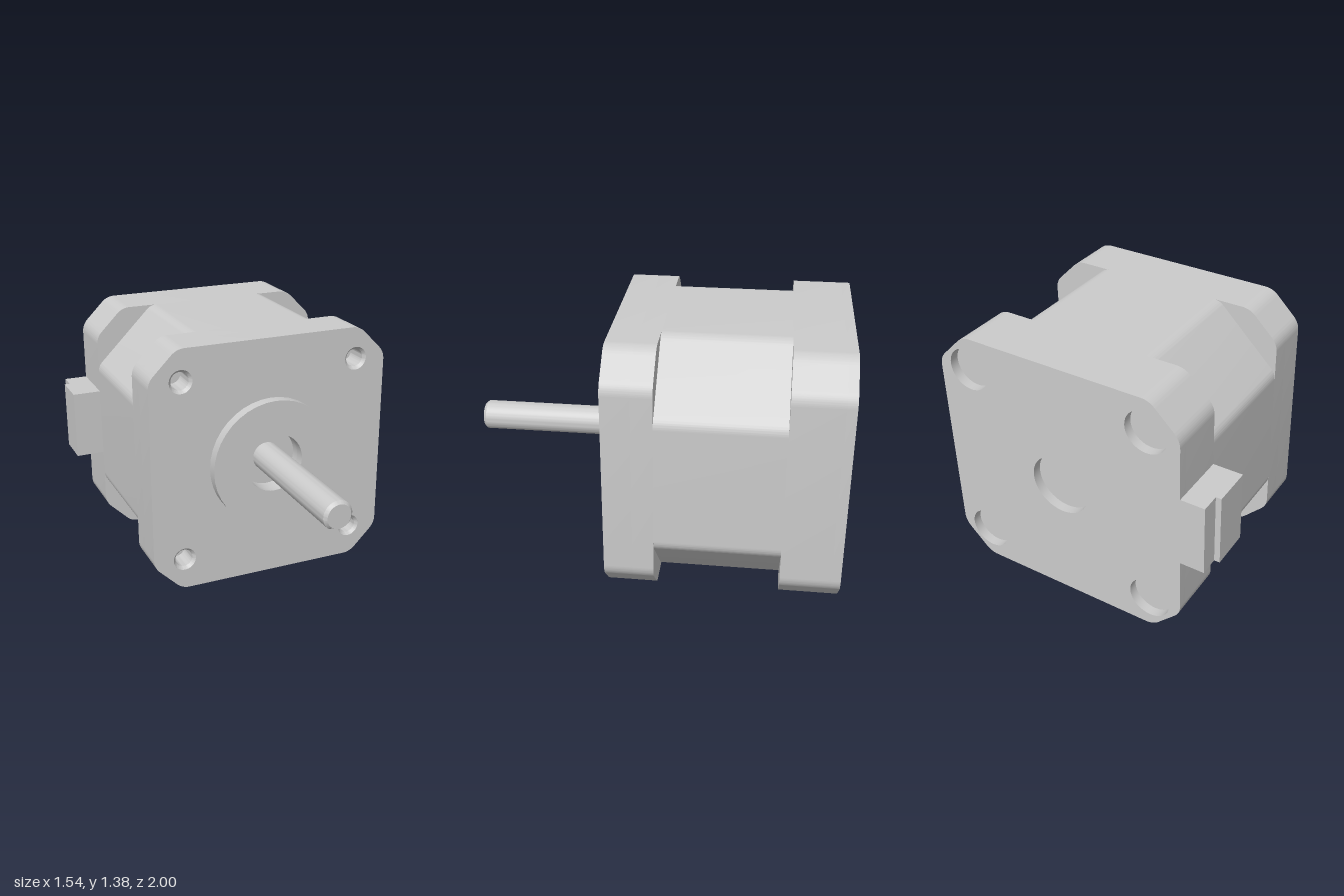
import * as THREE from 'three';
import { toCreasedNormals } from 'three/addons/utils/BufferGeometryUtils.js';

const HALF = 0.69;   // half width of the square body
const BOLT = 0.512;  // bolt offset from the shaft axis
const BORE = 0.165;  // centre bore radius
const CORNERS = [[1, 1], [-1, 1], [-1, -1], [1, -1]];

const grey = new THREE.MeshStandardMaterial({ color: 0xcccccc });
const greyBoth = new THREE.MeshStandardMaterial({ color: 0xcccccc, side: THREE.DoubleSide });

function addMesh(parent, name, geometry, material = grey) {
  const mesh = new THREE.Mesh(toCreasedNormals(geometry, 0.5), material);
  mesh.name = name;
  parent.add(mesh);
  return mesh;
}

// Square with cut corners; t softens both ends of each cut
function bodyShape(cut, t) {
  const pts = [
    [HALF, HALF - cut], [HALF - cut, HALF], [-HALF + cut, HALF], [-HALF, HALF - cut],
    [-HALF, -HALF + cut], [-HALF + cut, -HALF], [HALF - cut, -HALF], [HALF, -HALF + cut],
  ].map(([x, y]) => new THREE.Vector2(x, y));
  const shape = new THREE.Shape();
  pts.forEach((p, i) => {
    const toward = (q) => p.clone().add(q.clone().sub(p).setLength(t));
    const a = toward(pts[(i + 7) % 8]);
    const b = toward(pts[(i + 1) % 8]);
    if (i === 0) shape.moveTo(a.x, a.y);
    else shape.lineTo(a.x, a.y);
    shape.quadraticCurveTo(p.x, p.y, b.x, b.y);
  });
  shape.closePath();
  return shape;
}

function punch(shape, x, y, r) {
  shape.holes.push(new THREE.Path().absarc(x, y, r, 0, Math.PI * 2, true));
}

// Extrude a shape between two z positions
function slab(shape, z0, z1) {
  const geo = new THREE.ExtrudeGeometry(shape, { depth: z1 - z0, bevelEnabled: false, curveSegments: 20 });
  return geo.translate(0, 0, z0);
}

// Lathe about the z axis from [radius, z] pairs
function turned(profile) {
  const pts = profile.map(([r, z]) => new THREE.Vector2(r, z));
  return new THREE.LatheGeometry(pts, 64).rotateX(Math.PI / 2);
}

export function createModel() {
  const model = new THREE.Group();
  model.name = 'stepperMotor';
  const motor = new THREE.Group();
  motor.name = 'motor';
  motor.position.set(0.08, HALF, 0);
  model.add(motor);

  const capShape = () => bodyShape(0.16, 0.045);

  // Front cap: drilled plate over a solid slab
  const frontPlate = capShape();
  punch(frontPlate, 0, 0, BORE);
  CORNERS.forEach(([sx, sy]) => punch(frontPlate, sx * BOLT, sy * BOLT, 0.065));
  addMesh(motor, 'frontPlate', slab(frontPlate, 0.07, 0.22));
  addMesh(motor, 'frontCap', slab(capShape(), -0.04, 0.07));

  // Laminated core with deeper corner cuts
  addMesh(motor, 'core', slab(bodyShape(0.335, 0.035), -0.69, -0.04));

  // Rear cap with shallow round recesses
  const rearPlate = capShape();
  punch(rearPlate, 0, 0, BORE);
  CORNERS.forEach(([sx, sy]) => punch(rearPlate, sx * BOLT, sy * BOLT, 0.115));
  addMesh(motor, 'rearCap', slab(capShape(), -0.95, -0.69));
  addMesh(motor, 'rearPlate', slab(rearPlate, -1, -0.95));

  // Countersunk screw holes
  CORNERS.forEach(([sx, sy]) => {
    const hole = addMesh(motor, 'screwHole',
      turned([[0.065, 0.22], [0.05, 0.203], [0.05, 0.08], [0, 0.08]]), greyBoth);
    hole.position.set(sx * BOLT, sy * BOLT, 0);
  });

  // Raised pilot ring and floor of the bore
  const ring = new THREE.Shape().absarc(0, 0, 0.357, 0, Math.PI * 2, false);
  punch(ring, 0, 0, BORE);
  addMesh(motor, 'pilotRing', slab(ring, 0.22, 0.28));
  addMesh(motor, 'boreFloor', new THREE.CircleGeometry(BORE, 48).translate(0, 0, 0.17));

  // Shaft: round root, then a chamfered length with a flat along the underside
  addMesh(motor, 'shaftRoot', turned([[0.08, 0.17], [0.08, 0.2], [0, 0.2]]), greyBoth);
  const shaft = turned([[0.08, 0.19], [0.08, 0.983], [0.065, 1], [0, 1]]);
  const pos = shaft.attributes.position;
  for (let i = 0; i < pos.count; i++) pos.setY(i, Math.max(pos.getY(i), -0.065));
  addMesh(motor, 'shaft', shaft, greyBoth);

  // Stepped cable socket on the side of the rear cap
  const socket = (name, outerX, z0, z1) => {
    const width = outerX - HALF;
    const box = new THREE.BoxGeometry(width, 0.39, z1 - z0);
    addMesh(motor, name, box).position.set(-HALF - width / 2, 0.005, (z0 + z1) / 2);
  };
  socket('socketBody', 0.85, -0.9, -0.69);
  socket('socketStep', 0.82, -1, -0.9);

  return model;
}
